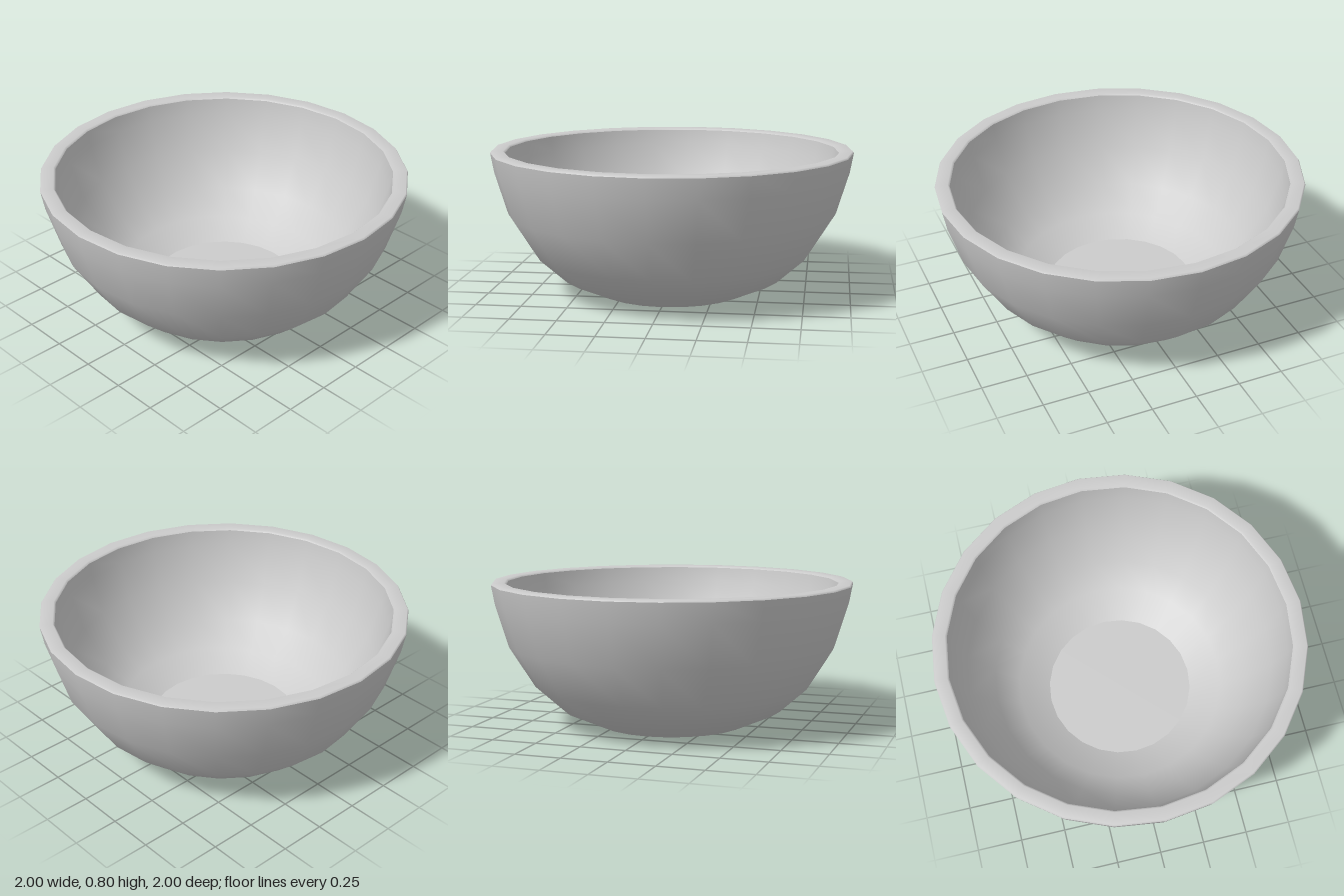
import * as THREE from 'three';

const SIDES = 24;

export function createModel() {
  const bowl = new THREE.Group();
  bowl.name = 'bowl';
  const material = new THREE.MeshStandardMaterial({ color: 0xcccccc });

  // Each band is turned separately so the edges between bands stay sharp
  const turn = (name, profile) => {
    const points = profile.map(([r, y]) => new THREE.Vector2(r, y));
    const mesh = new THREE.Mesh(new THREE.LatheGeometry(points, SIDES), material);
    mesh.name = name;
    bowl.add(mesh);
  };

  // Profile runs from under the base, up the outside, over the rim and down the inside
  turn('base', [[0, 0], [0.42, 0]]);
  turn('outerWall', [[0.42, 0], [0.62, 0.09], [0.77, 0.225], [0.91, 0.45], [0.98, 0.68], [1, 0.79]]);
  turn('rim', [[1, 0.79], [0.993, 0.8], [0.93, 0.8], [0.92, 0.79]]);
  turn('innerWall', [[0.92, 0.79], [0.905, 0.7], [0.84, 0.485], [0.71, 0.28], [0.58, 0.16], [0.41, 0.08]]);
  turn('innerFloor', [[0.41, 0.08], [0, 0.08]]);

  return bowl;
}
